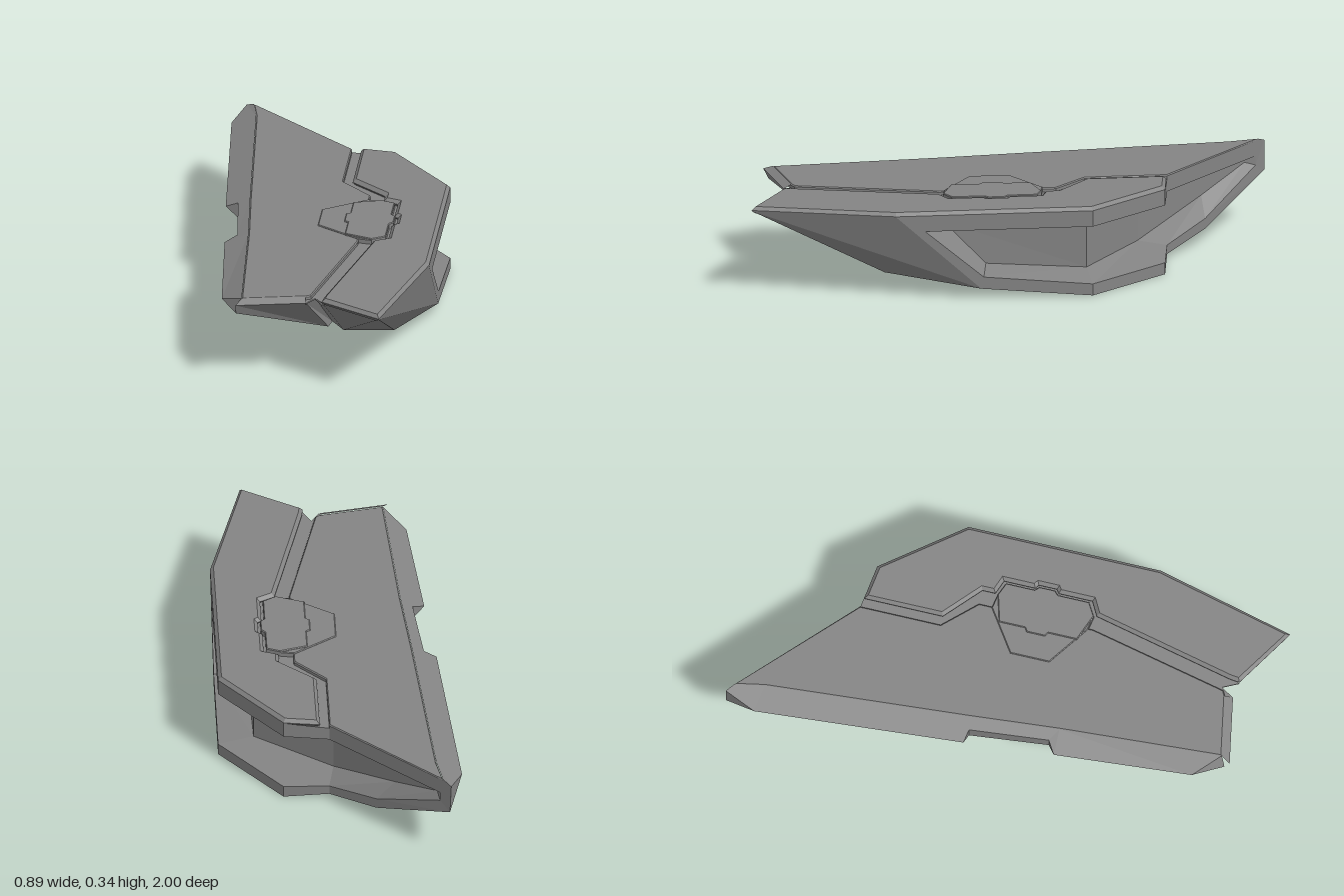
import * as THREE from 'three';

const material = new THREE.MeshStandardMaterial({ color: 0x848484, flatShading: true });
const CORE = [0, 0.2, 0];

// Collects polygon faces; each triangle is turned to face away from a reference point
class Faces {
  constructor() { this.positions = []; }
  add(points, ref = CORE) {
    const p = points.map((q) => new THREE.Vector3(...q));
    const from = new THREE.Vector3(...ref);
    for (let i = 1; i < p.length - 1; i++) {
      const tri = [p[0], p[i], p[i + 1]];
      const normal = p[i].clone().sub(p[0]).cross(p[i + 1].clone().sub(p[0]));
      const mid = p[0].clone().add(p[i]).add(p[i + 1]).divideScalar(3);
      if (normal.dot(mid.sub(from)) < 0) tri.reverse();
      tri.forEach((v) => this.positions.push(v.x, v.y, v.z));
    }
  }
  strip(a, b, ref) {
    for (let i = 0; i < a.length - 1; i++) this.add([a[i], a[i + 1], b[i + 1], b[i]], ref);
  }
  mesh(name) {
    const g = new THREE.BufferGeometry();
    g.setAttribute('position', new THREE.Float32BufferAttribute(this.positions, 3));
    g.computeVertexNormals();
    const m = new THREE.Mesh(g, material);
    m.name = name;
    return m;
  }
}

// Flat plate from an (x, z) outline with a bevelled rim
function plate(name, outline, bottom, top, bevel) {
  const shape = new THREE.Shape(outline.map(([x, z]) => new THREE.Vector2(x, -z)));
  const g = new THREE.ExtrudeGeometry(shape, {
    depth: top - bottom - 2 * bevel, bevelEnabled: bevel > 0,
    bevelThickness: bevel, bevelSize: bevel, bevelOffset: -bevel, bevelSegments: 1,
  });
  g.rotateX(-Math.PI / 2).translate(0, bottom + bevel, 0);
  const m = new THREE.Mesh(g, material);
  m.name = name;
  return m;
}

export function createModel() {
  const group = new THREE.Group();

  // Outer side and rear wall: top rim, opening edges and keel line
  const rim = [[0.443, 0.33, 0.47], [0.443, 0.33, -0.27], [0.21, 0.33, -0.565], [0.04, 0.32, -0.59], [-0.4, 0.32, -1]];
  const openTop = [[0.443, 0.27, 0.36], [0.443, 0.27, -0.27], [0.21, 0.27, -0.565], [0.04, 0.27, -0.59], [-0.36, 0.27, -0.963]];
  const openLow = [[0.443, 0.085, 0.14], [0.443, 0.045, -0.27], [0.21, 0.045, -0.565], [0.04, 0.06, -0.59], [-0.13, 0.105, -0.75], [-0.36, 0.235, -0.963]];
  const keel = [[0.443, 0.04, 0.15], [0.443, 0, -0.27], [0.21, 0, -0.565], [0.04, 0.025, -0.59], [-0.13, 0.065, -0.75], [-0.395, 0.205, -1]];

  // Front corners, with a seam channel between the two panels
  const noseTop = [0.31, 0.33, 1], noseLow = [0.315, 0.075, 0.5];
  const rightTop = [0.08, 0.33, 0.86], rightLow = [0.135, 0.11, 0.6];
  const seamTop = [0.05, 0.32, 0.8], seamLow = [0.09, 0.13, 0.57];
  const leftTop = [0.02, 0.32, 0.85], leftLow = [0.08, 0.13, 0.62];
  const cornerTop = [-0.24, 0.32, 0.9], cornerLow = [-0.24, 0.28, 0.88];
  const seamBack = [0.085, 0.02, -0.583];

  // Thin wing edge with its notch, and the inner line where the slope meets the top
  const edgeBack = [-0.445, 0.295, -0.88], edgeA = [-0.382, 0.295, -0.09];
  const edgeB = [-0.35, 0.295, 0.25], edgeFront = [-0.305, 0.29, 0.77];
  const notchA = [-0.335, 0.315, -0.08], notchB = [-0.305, 0.315, 0.22];
  const notchLowA = [-0.335, 0.255, -0.08], notchLowB = [-0.305, 0.262, 0.22];
  const inTip = [-0.37, 0.335, -0.972], inBack = [-0.35, 0.335, -0.86], inA = [-0.29, 0.335, -0.09];
  const inB = [-0.26, 0.335, 0.25], inFront = [-0.22, 0.335, 0.865], inSeam = [0.015, 0.335, 0.82];

  const hull = new Faces();
  hull.strip(rim, openTop);
  hull.strip(openLow, keel);
  hull.add([rim[0], openTop[0], openLow[0], keel[0]]);
  hull.add([rim[4], openTop[4], openLow[5], keel[5]]);
  hull.add([noseTop, rim[0], keel[0], noseLow]);
  hull.add([noseTop, noseLow, rightLow, rightTop]);
  hull.add([seamTop, rightTop, rightLow, seamLow], [0.3, 0.2, 0]);
  hull.add([leftTop, seamTop, seamLow, leftLow], [-0.2, 0.2, 0]);
  hull.add([cornerTop, leftTop, leftLow, cornerLow]);
  hull.add([cornerTop, leftTop, inSeam, inFront]);
  hull.add([inFront, edgeFront, cornerLow, cornerTop]);
  // Underside
  hull.add([seamBack, rightLow, noseLow, keel[0], keel[1], keel[2]]);
  hull.add([seamBack, seamLow, rightLow]);
  hull.add([seamBack, leftLow, seamLow]);
  hull.add([leftLow, seamBack, keel[3], keel[4], keel[5], cornerLow]);
  // Lower chamfer of the wing edge
  hull.add([keel[5], edgeBack, edgeA, notchLowA]);
  hull.add([keel[5], notchLowA, notchLowB, cornerLow]);
  hull.add([cornerLow, notchLowB, edgeB, edgeFront]);
  // Upper slope of the wing edge, rear tip and notch
  hull.add([rim[4], keel[5], edgeBack]);
  hull.add([rim[4], edgeBack, inBack, inTip]);
  hull.add([rim[4], inTip, openTop[4]]);
  hull.add([inBack, edgeBack, edgeA, inA]);
  hull.add([inA, edgeA, notchA]);
  hull.add([inA, notchA, notchB, inB]);
  hull.add([inB, notchB, edgeB]);
  hull.add([inB, edgeB, edgeFront, inFront]);
  hull.add([notchA, notchB, notchLowB, notchLowA]);
  hull.add([edgeA, notchA, notchLowA], [-0.35, 0.2, -5]);
  hull.add([edgeB, notchB, notchLowB], [-0.35, 0.2, 5]);
  group.add(hull.mesh('hull'));

  // Recess running along the side and round to the rear
  const inTop = [[0.32, 0.27, 0.28], [0.31, 0.27, -0.26], [0.02, 0.27, -0.48], [-0.35, 0.27, -0.92]];
  const inLow = [[0.32, 0.1, 0.12], [0.31, 0.07, -0.26], [0.02, 0.075, -0.48], [-0.2, 0.175, -0.742], [-0.35, 0.25, -0.92]];
  const recess = new Faces();
  const above = [0, 5, 0], below = [0, -5, 0];
  recess.strip(openTop.slice(0, 3), inTop.slice(0, 3), above);
  recess.add([openTop[2], openTop[3], inTop[2]], above);
  recess.strip(openTop.slice(3), inTop.slice(2), above);
  recess.strip(openLow.slice(0, 3), inLow.slice(0, 3), below);
  recess.add([openLow[2], openLow[3], inLow[2]], below);
  recess.strip(openLow.slice(3), inLow.slice(2), below);
  recess.strip(inTop.slice(0, 3), inLow.slice(0, 3));
  recess.add([inTop[2], inTop[3], inLow[4], inLow[3], inLow[2]]);
  recess.add([openTop[0], inTop[0], inLow[0], openLow[0]], [0.3, 0.6, 5]);
  recess.add([openTop[4], inTop[3], inLow[4], openLow[5]], [-5, 0.2, -1]);
  group.add(recess.mesh('sideRecess'));

  // Deck: channel floor, two armour panels and the hatch between them
  const flat = (list) => list.map(([x, , z]) => [x, z]);
  group.add(plate('channelFloor', [
    ...flat([leftTop, seamTop, rightTop]), [0.3, 0.5], [0.3, -0.4], ...flat([rim[2], rim[3]]), [-0.1, -0.4], [-0.1, 0.6],
  ], 0.315, 0.32, 0));
  group.add(plate('wingPanel', [
    ...flat([inTip, inBack, inA, inB, inFront, inSeam]),
    [0.035, 0.81], [0.155, 0.28], [0.155, -0.16], [0.04, -0.28], [0.04, -0.59],
  ], 0.31, 0.335, 0.004));
  group.add(plate('sidePanel', [
    [0.08, 0.86], [0.31, 1], [0.443, 0.47], [0.443, -0.27], [0.21, -0.565], [0.075, -0.583],
    [0.075, -0.28], [0.21, -0.16], [0.21, -0.11], [0.265, -0.09], [0.265, 0.03], [0.28, 0.04],
    [0.28, 0.11], [0.265, 0.12], [0.265, 0.25], [0.21, 0.28], [0.085, 0.82],
  ], 0.317, 0.345, 0.013));
  const hatchSide = [
    [0.205, -0.1], [0.255, -0.08], [0.255, 0.03], [0.27, 0.045],
    [0.27, 0.105], [0.255, 0.12], [0.255, 0.24], [0.205, 0.27],
  ];
  group.add(plate('hatch', [[-0.01, 0], [0.15, -0.11], ...hatchSide, [0.15, 0.26], [-0.01, 0.15]], 0.31, 0.339, 0.003));
  group.add(plate('hatchRidge', [
    [0.1, -0.07], ...hatchSide, [0.1, 0.23], [0.1, 0.12], [0.085, 0.11], [0.085, 0.04], [0.1, 0.03],
  ], 0.32, 0.343, 0.003));

  return group;
}
